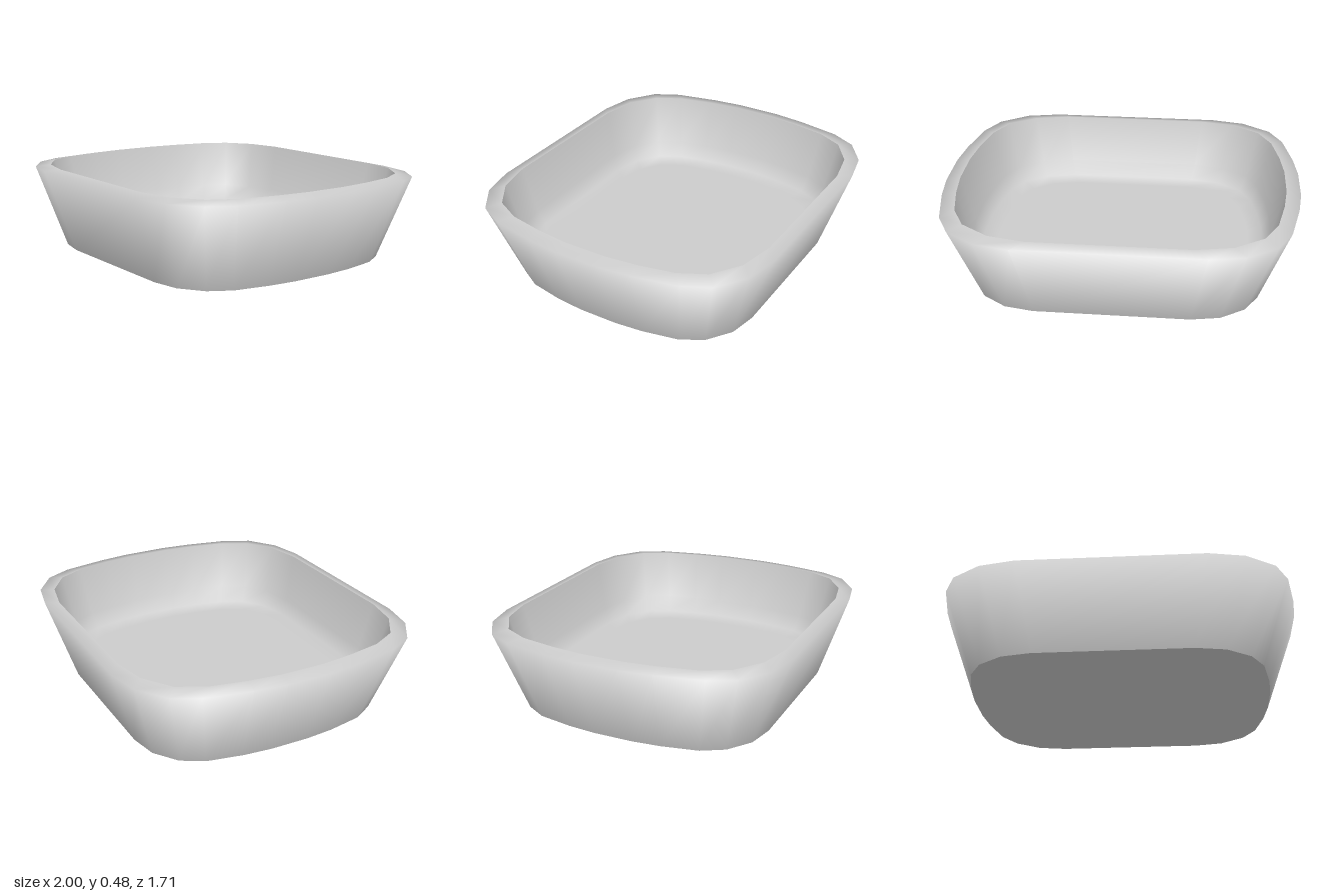
import * as THREE from 'three';

// One quarter of each outline as [x, z]; the rest is mirrored.
const BASE = [[0.835, 0.11], [0.82, 0.27], [0.78, 0.47], [0.71, 0.59], [0.58, 0.68], [0.42, 0.71]];
const LIP = [[1, 0.13], [0.98, 0.31], [0.93, 0.56], [0.855, 0.705], [0.695, 0.815], [0.5, 0.855]];
const MOUTH = [[0.92, 0.12], [0.9, 0.3], [0.86, 0.5], [0.785, 0.645], [0.63, 0.75], [0.43, 0.79]];

// Mirror a quarter outline into a closed loop, scaled about the centre.
function outline(quarter, scale = 1) {
  const back = [...quarter].reverse();
  return [
    ...quarter,
    ...back.map(([x, z]) => [-x, z]),
    ...quarter.map(([x, z]) => [-x, -z]),
    ...back.map(([x, z]) => [x, -z]),
  ].map(([x, z]) => [x * scale, z * scale]);
}

// Skin a stack of rings. Each ring has a loop, a height y and a tilt:
// the angle of its normal in degrees (0 outward, 90 up, 180 inward).
function loft(rings) {
  const positions = [], normals = [], index = [];
  const n = rings[0].loop.length;
  const guide = rings[0].loop;
  rings.forEach(({ loop, y, tilt }, r) => {
    const t = THREE.MathUtils.degToRad(tilt);
    for (let i = 0; i < n; i++) {
      const next = guide[(i + 1) % n], prev = guide[(i + n - 1) % n];
      const out = new THREE.Vector2(next[1] - prev[1], prev[0] - next[0]).normalize();
      positions.push(loop[i][0], y, loop[i][1]);
      normals.push(out.x * Math.cos(t), Math.sin(t), out.y * Math.cos(t));
      if (r === 0) continue;
      const j = (i + 1) % n, a = (r - 1) * n, b = r * n;
      index.push(a + i, b + i, a + j, a + j, b + i, b + j);
    }
  });
  const geometry = new THREE.BufferGeometry();
  geometry.setAttribute('position', new THREE.Float32BufferAttribute(positions, 3));
  geometry.setAttribute('normal', new THREE.Float32BufferAttribute(normals, 3));
  geometry.setIndex(index);
  return geometry;
}

export function createModel() {
  const group = new THREE.Group();
  group.name = 'dish';
  const material = new THREE.MeshStandardMaterial({ color: 0xcccccc });
  const add = (name, geometry) => {
    const mesh = new THREE.Mesh(geometry, material);
    mesh.name = name;
    group.add(mesh);
    return mesh;
  };

  // Flared outer wall, shaded smoothly over the sloping rim
  add('outerWallAndRim', loft([
    { loop: outline(BASE), y: 0, tilt: -19 },
    { loop: outline(LIP), y: 0.465, tilt: 38 },
    { loop: outline(MOUTH), y: 0.48, tilt: 78 },
  ]));

  // Hollow: inner wall, soft fillet and flat floor
  add('innerWallAndFloor', loft([
    { loop: outline(MOUTH), y: 0.48, tilt: 165 },
    { loop: outline(MOUTH, 0.925), y: 0.2, tilt: 155 },
    { loop: outline(MOUTH, 0.88), y: 0.11, tilt: 125 },
    { loop: outline(MOUTH, 0.8), y: 0.085, tilt: 90 },
    { loop: outline(MOUTH, 0), y: 0.085, tilt: 90 },
  ]));

  // Flat underside
  const shape = new THREE.Shape(outline(BASE).map(([x, z]) => new THREE.Vector2(x, z)));
  add('underside', new THREE.ShapeGeometry(shape).rotateX(Math.PI / 2));

  return group;
}
